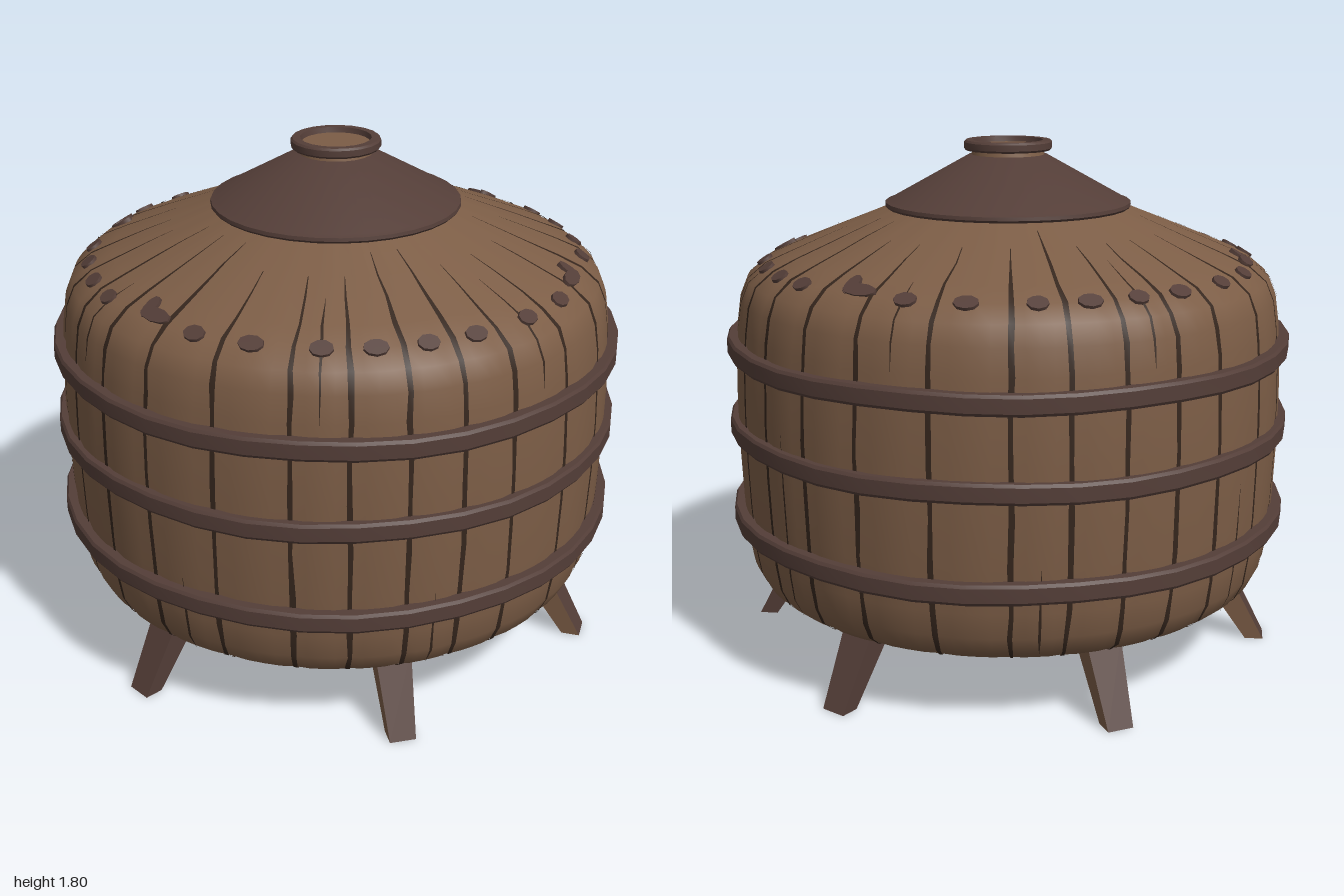
import * as THREE from 'three';
import { toCreasedNormals } from 'three/addons/utils/BufferGeometryUtils.js';

const material = (name, color) => {
  const m = new THREE.MeshStandardMaterial({ color });
  m.name = name;
  return m;
};

// Barrel outline as [radius, height], from the underside up to the cap
const OUTLINE = [
  [0.001, 0.24], [0.5, 0.24], [0.68, 0.24], [0.8, 0.24], [0.865, 0.248], [0.905, 0.28], [0.935, 0.34],
  [0.95, 0.43], [0.96, 0.58], [0.966, 0.74], [0.968, 0.92], [0.964, 1.08], [0.955, 1.19], [0.942, 1.28],
  [0.915, 1.345], [0.855, 1.395], [0.77, 1.432], [0.66, 1.477], [0.57, 1.513], [0.47, 1.553], [0.38, 1.59],
].map(([r, y]) => new THREE.Vector2(r, y));

// Seam and rivet angles in degrees, listed for one quarter and mirrored
const SEAMS = [0, 11, 22, 37, 52, 65, 78, 90];
const RIVETS = [5.5, 16.5, 31, 44, 56, 73, 84];
const mirrored = (list) => {
  const all = new Set(list.flatMap((d) => [d, 180 - d, 180 + d, (360 - d) % 360]));
  return [...all].sort((a, b) => a - b).map(THREE.MathUtils.degToRad);
};
const DIP = 0.993; // staves sink a little at their seams

export function createModel() {
  const wood = material('wood', 0x7c5d46);
  const iron = material('dark band', 0x543e38);
  const gap = material('seam shadow', 0x35261d);
  gap.side = THREE.DoubleSide;

  const model = new THREE.Group();
  model.name = 'barrelTank';
  let seed = 7;
  const rand = () => (seed = (seed * 16807) % 2147483647) / 2147483647;
  const add = (name, geometry, mat, parent = model) => {
    const mesh = new THREE.Mesh(geometry, mat);
    mesh.name = name;
    parent.add(mesh);
    return mesh;
  };
  const lathe = (points, sides) =>
    toCreasedNormals(new THREE.LatheGeometry(points.map(([r, y]) => new THREE.Vector2(r, y)), sides), 0.5);

  // Barrel: a lathe whose columns follow the uneven staves
  const seams = mirrored(SEAMS);
  const cols = seams.length * 4;
  const barrel = new THREE.LatheGeometry(OUTLINE, cols);
  const pos = barrel.attributes.position;
  for (let c = 0; c <= cols; c++) {
    const k = Math.floor(c / 4), t = (c % 4) / 4;
    const a0 = k < seams.length ? seams[k] : Math.PI * 2;
    const a1 = k + 1 < seams.length ? seams[k + 1] : Math.PI * 2;
    const a = a0 + (a1 - a0) * t;
    const s = c % 4 === 0 ? DIP : 1;
    OUTLINE.forEach((p, i) =>
      pos.setXYZ(c * OUTLINE.length + i, p.x * s * Math.sin(a), p.y, p.x * s * Math.cos(a)));
  }
  barrel.computeVertexNormals();
  add('barrel', barrel, wood);

  // Thin tapering strip that follows the outline between two rows
  const strip = (angle, from, to, width, scale) => {
    const v = [], index = [];
    for (let i = from; i <= to; i++) {
      const p = OUTLINE[i], t = (i - from) / (to - from);
      const d = OUTLINE[i + 1].clone().sub(OUTLINE[i - 1]).normalize();
      const r = p.x * scale + d.y * 0.004, y = p.y - d.x * 0.004;
      const w = width * Math.min(1, 0.12 + 4 * Math.min(t, 1 - t)) * (0.75 + rand() * 0.5);
      const shift = (rand() - 0.5) * 0.008;
      for (const side of [-1, 1]) {
        const q = shift + side * w;
        v.push(r * Math.sin(angle) + q * Math.cos(angle), y, r * Math.cos(angle) - q * Math.sin(angle));
      }
      const n = (i - from) * 2;
      if (i < to) index.push(n, n + 1, n + 2, n + 1, n + 3, n + 2);
    }
    const g = new THREE.BufferGeometry();
    g.setAttribute('position', new THREE.Float32BufferAttribute(v, 3));
    g.setIndex(index);
    g.computeVertexNormals();
    return g;
  };

  // Seams between staves, plus a few short cracks
  const seamGroup = new THREE.Group();
  seamGroup.name = 'staveSeams';
  model.add(seamGroup);
  seams.forEach((a) => add('seam', strip(a, 2, rand() < 0.3 ? 19 : 18, 0.0085, DIP), gap, seamGroup));
  seams.forEach((a, k) => {
    if (k % 2) return;
    const next = seams[k + 1] ?? Math.PI * 2;
    const start = k % 4 ? 12 : 5;
    add('crack', strip((a + next) / 2, start, start + 3 + (k % 3), 0.004, 1), gap, seamGroup);
  });

  // Three hoops, slightly uneven
  [0.508, 0.833, 1.115].forEach((y, k) => {
    const h = 0.034;
    const points = [[0.95, -h], [0.988, -h], [0.995, -h * 0.7], [0.995, h * 0.7], [0.988, h], [0.95, h]];
    const hoop = new THREE.LatheGeometry(points.map(([r, py]) => new THREE.Vector2(r, py + y)), 36);
    const hp = hoop.attributes.position;
    for (let i = 0; i < hp.count; i++) {
      const a = Math.atan2(hp.getX(i), hp.getZ(i));
      hp.setY(i, hp.getY(i) + 0.003 * Math.sin(a * 7 + k * 2));
    }
    add('hoop', toCreasedNormals(hoop, 0.5), iron);
  });

  // Flat rivets around the shoulder; a few are smeared into hooks
  const rivetShape = new THREE.CylinderGeometry(0.034, 0.036, 0.03, 9);
  const addRivet = (a, sx, sz, dr, turn) => {
    const pivot = new THREE.Group();
    pivot.name = 'rivet';
    pivot.rotation.y = a;
    const mesh = add('rivetHead', rivetShape, iron, pivot);
    mesh.position.set(turn, 1.389 - dr * 0.45, 0.85 + dr);
    mesh.rotation.x = 0.56;
    mesh.scale.set(sx, 1, sz);
    model.add(pivot);
  };
  mirrored(RIVETS).forEach((a) => {
    const hook = Math.abs(Math.abs(Math.sin(a)) - Math.sin(THREE.MathUtils.degToRad(56))) < 0.01;
    addRivet(a, hook ? 1.9 : 1 + rand() * 0.25, hook ? 0.8 : 0.85, hook ? -0.02 : 0, 0);
    if (hook) addRivet(a, 0.7, 1.3, -0.04, Math.sin(2 * a) > 0 ? 0.045 : -0.045);
  });

  // Conical cap with a rim
  add('cap', lathe([[0.36, 1.574], [0.425, 1.574], [0.432, 1.582], [0.43, 1.594], [0.41, 1.602],
    [0.135, 1.755], [0.001, 1.757]], 32), iron);

  // Neck, open collar and plug
  add('neck', lathe([[0.13, 1.745], [0.122, 1.778]], 20), wood);
  add('collar', lathe([[0.118, 1.77], [0.148, 1.77], [0.154, 1.777], [0.154, 1.798], [0.148, 1.805],
    [0.122, 1.805], [0.116, 1.78]], 20), iron);
  add('plug', new THREE.CylinderGeometry(0.119, 0.119, 0.02, 20), wood).position.y = 1.777;

  // Six splayed, tapered legs; one flank and the foot are bare wood
  const legShape = new THREE.BoxGeometry(1, 1, 1);
  const lp = legShape.attributes.position;
  for (let i = 0; i < lp.count; i++) {
    const top = lp.getY(i) > 0;
    const outer = lp.getZ(i) > 0;
    lp.setXYZ(i, Math.sign(lp.getX(i)) * (top ? 0.062 : 0.045), top ? 0.26 : 0,
      top ? (outer ? 0.815 : 0.705) : (outer ? 0.95 : 0.885));
  }
  const flatLeg = legShape.toNonIndexed();
  legShape.groups.forEach((g) => flatLeg.addGroup(g.start, g.count, g.materialIndex));
  flatLeg.computeVertexNormals();
  for (let k = 0; k < 6; k++) {
    add('leg', flatLeg, [iron, wood, iron, wood, iron, iron]).rotation.y = (k * Math.PI) / 3;
  }
  return model;
}
